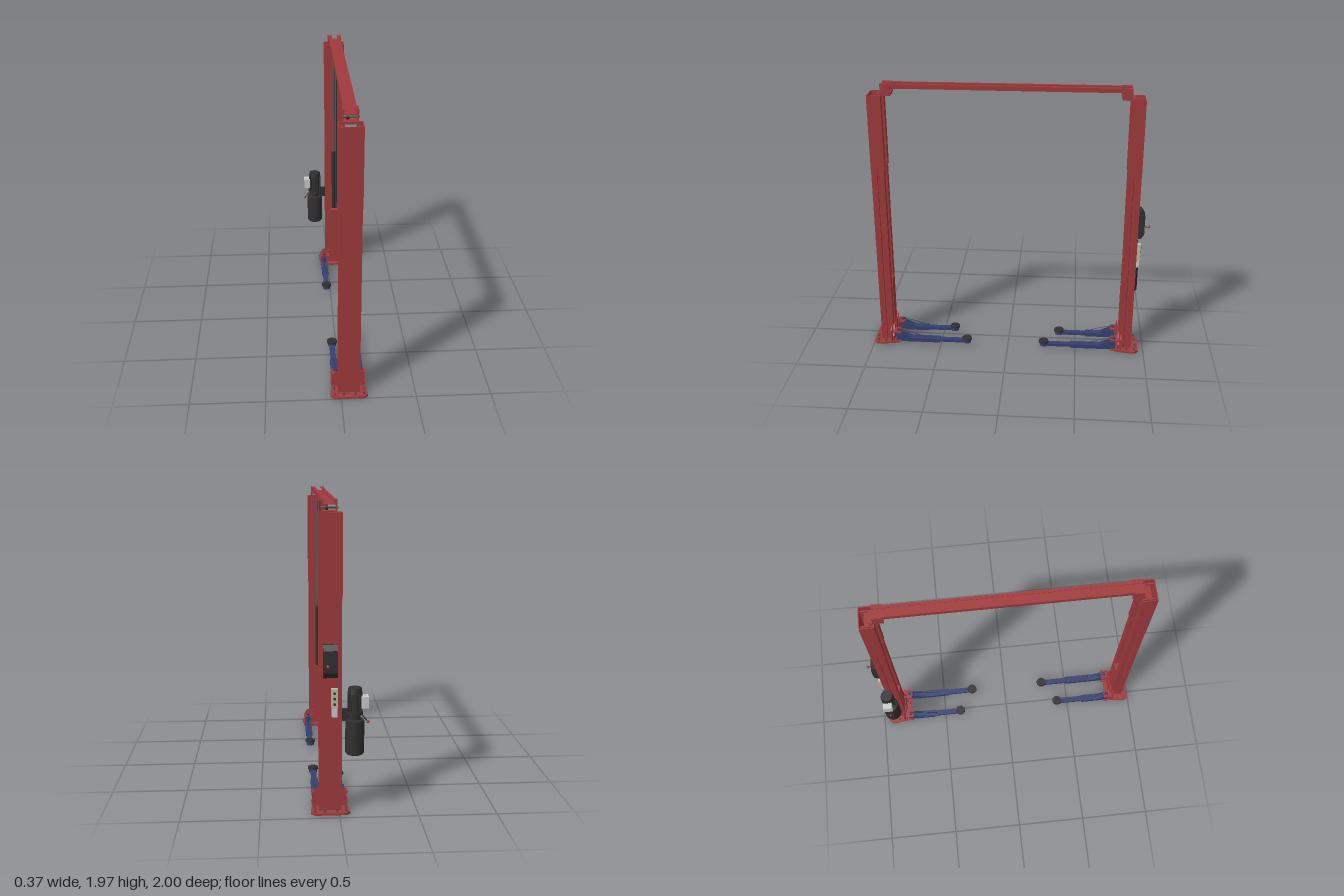
import * as THREE from 'three';

const paint = (color) => new THREE.MeshStandardMaterial({ color, flatShading: false });
const RED = paint(0xa03a3c), BLUE = paint(0x35406f), DARK = paint(0x303030);
const BEIGE = paint(0xb9bba0), GREY = paint(0xcccccc), STEEL = paint(0x555555);

function add(parent, name, geometry, material, x = 0, y = 0, z = 0) {
  const mesh = new THREE.Mesh(geometry, material);
  mesh.name = name;
  mesh.position.set(x, y, z);
  parent.add(mesh);
  return mesh;
}

// box given by its minimum and maximum on each axis
function box(parent, name, material, [x0, x1], [y0, y1], [z0, z1]) {
  return add(parent, name, new THREE.BoxGeometry(x1 - x0, y1 - y0, z1 - z0), material,
    (x0 + x1) / 2, (y0 + y1) / 2, (z0 + z1) / 2);
}

function cyl(parent, name, material, r, y0, y1, x, z, rTop = r, sides = 24) {
  return add(parent, name, new THREE.CylinderGeometry(rTop, r, y1 - y0, sides), material, x, (y0 + y1) / 2, z);
}

// rod between two points
function rod(parent, name, material, a, b, r) {
  const curve = new THREE.LineCurve3(new THREE.Vector3(...a), new THREE.Vector3(...b));
  return add(parent, name, new THREE.TubeGeometry(curve, 1, r, 8), material);
}

// plan outline: right half as [x, z] points, mirrored to the left, raised from y0 to y1
function raise(parent, name, material, half, y0, y1) {
  const all = [...half, ...half.map(([x, z]) => [-x, z]).reverse()];
  const shape = new THREE.Shape(all.map(([x, z]) => new THREE.Vector2(x, -z)));
  const geo = new THREE.ExtrudeGeometry(shape, { depth: y1 - y0, bevelEnabled: false });
  geo.rotateX(-Math.PI / 2);
  return add(parent, name, geo, material, 0, y0, 0);
}

// swinging arm with pivot, telescoping bar and lifting pad; +z points away from the post
function createArm(side, reach) {
  const arm = new THREE.Group();
  arm.name = 'liftArm';
  const x = side * 0.085;
  cyl(arm, 'pivotPin', BLUE, 0.014, 0.015, 0.108, x, 0.132);
  box(arm, 'armRoot', BLUE, [x - 0.022, x + 0.022], [0.022, 0.085], [0.115, 0.165]);
  const mid = reach - 0.2;
  box(arm, 'outerArm', BLUE, [x - 0.025, x + 0.025], [0.02, 0.05], [0.16, mid]);
  box(arm, 'innerArm', BLUE, [x - 0.019, x + 0.019], [0.024, 0.045], [mid - 0.05, reach]);
  // sloping ribs down from the root
  for (const s of [-1, 1]) {
    const rib = new THREE.Shape([[0.16, 0.05], [0.24, 0.05], [0.16, 0.085]].map((p) => new THREE.Vector2(...p)));
    const geo = new THREE.ExtrudeGeometry(rib, { depth: 0.005, bevelEnabled: false });
    geo.rotateY(-Math.PI / 2);
    add(arm, 'armRib', geo, BLUE, x + s * 0.018 + 0.0025, 0, 0);
  }
  cyl(arm, 'armTip', BLUE, 0.028, 0.022, 0.045, x, reach);
  cyl(arm, 'padStem', STEEL, 0.016, 0.04, 0.052, x, reach);
  cyl(arm, 'liftPad', DARK, 0.037, 0.048, 0.062, x, reach, 0.035, 32);
  const cable = new THREE.QuadraticBezierCurve3(new THREE.Vector3(x, 0.108, 0.132),
    new THREE.Vector3(x, 0.085, 0.25), new THREE.Vector3(x, 0.05, 0.34));
  add(arm, 'releaseCable', new THREE.TubeGeometry(cable, 12, 0.0018, 6), DARK);
  return arm;
}

// post with its outer face at z = 0, opening toward +z
function createPost(longSide) {
  const post = new THREE.Group();
  post.name = 'post';

  // base plate and anchor bolts
  raise(post, 'basePlate', RED,
    [[0.1, -0.05], [0.125, -0.025], [0.122, 0.02], [0.112, 0.09], [0.1, 0.13]], 0, 0.014);
  for (const s of [-1, 1]) {
    for (const [x, z] of [[0.098, -0.022], [0.1, 0.035], [0.04, -0.028]]) {
      cyl(post, 'anchorWasher', RED, 0.012, 0.014, 0.018, s * x, z);
      cyl(post, 'anchorBolt', STEEL, 0.007, 0.018, 0.035, s * x, z, 0.007, 6);
    }
  }

  // folded channel with grooved sides
  raise(post, 'lowerColumn', RED, [[0.072, 0], [0.072, 0.04], [0.066, 0.043], [0.066, 0.05], [0.072, 0.053],
    [0.072, 0.09], [0.03, 0.09], [0.03, 0.07], [0.035, 0.07], [0.035, 0.085],
    [0.061, 0.085], [0.061, 0.006]], 0.014, 1.38);
  raise(post, 'upperSleeve', RED, [[0.075, -0.001], [0.075, 0.095], [0.034, 0.095], [0.034, 0.075], [0.039, 0.075],
    [0.039, 0.09], [0.07, 0.09], [0.07, 0.005]], 1.37, 1.895);
  raise(post, 'topTie', RED, [[0.07, 0.03], [0.05, 0.065]], 1.855, 1.865);
  for (const s of [-1, 1]) {
    box(post, 'innerRail', RED, [s * 0.052 - 0.004, s * 0.052 + 0.004], [1.37, 1.88], [0.005, 0.09]);
  }

  // lifting ram and chain
  cyl(post, 'ramBody', DARK, 0.015, 0.014, 1.0, 0, 0.035);
  cyl(post, 'ramRod', STEEL, 0.009, 1.0, 1.855, 0, 0.035);
  box(post, 'chain', DARK, [0.02, 0.026], [0.4, 1.85], [0.03, 0.045]);

  // sliding carriage with arm brackets
  box(post, 'carriageSlide', RED, [-0.028, 0.028], [0.03, 0.5], [0.055, 0.096]);
  const flare = new THREE.Shape([[-0.112, 0.022], [0.112, 0.022], [0.112, 0.06], [0.06, 0.13], [-0.06, 0.13], [-0.112, 0.06]]
    .map((p) => new THREE.Vector2(...p)));
  add(post, 'carriageFace', new THREE.ExtrudeGeometry(flare, { depth: 0.012, bevelEnabled: false }), RED, 0, 0, 0.09);
  for (const s of [-1, 1]) {
    for (const y of [0.016, 0.09]) {
      const b = box(post, 'armBracket', RED, [-0.036, 0.036], [y, y + 0.009], [0.09, 0.152]);
      b.position.x = s * 0.081;
    }
    box(post, 'lockBar', RED, [s * 0.04 - 0.004, s * 0.04 + 0.004], [0.05, 0.175], [0.104, 0.112]);
    // side gussets
    const gusset = new THREE.Shape([[0.07, 0.014], [0.112, 0.014], [0.108, 0.1], [0.09, 0.13], [0.07, 0.13]]
      .map(([x, y]) => new THREE.Vector2(s * x, y)));
    const geo = new THREE.ExtrudeGeometry(gusset, { depth: 0.008, bevelEnabled: false });
    add(post, 'sideGusset', geo, RED, 0, 0, 0.075);
    post.add(createArm(s, s === longSide ? 0.645 : 0.535));
  }

  // bracket carrying the crossbeam, with pulley
  box(post, 'beamSeat', RED, [-0.045, 0.045], [1.888, 1.902], [0.065, 0.155]);
  for (const s of [-1, 1]) {
    box(post, 'beamCheek', RED, [s * 0.045 - 0.004, s * 0.045 + 0.004], [1.895, 1.97], [0.088, 0.158]);
  }
  const axle = cyl(post, 'pulleyAxle', STEEL, 0.007, -0.054, 0.054, 0, 0.11);
  const pulley = cyl(post, 'pulley', DARK, 0.016, -0.008, 0.008, 0.015, 0.11);
  for (const m of [axle, pulley]) {
    m.rotation.z = Math.PI / 2;
    m.position.y = 1.92;
  }
  return post;
}

// motor, pump and oil tank
function createPowerUnit() {
  const unit = new THREE.Group();
  unit.name = 'powerUnit';
  const x = -0.1, z = -0.887;
  const tank = [[0, 0.385], [0.052, 0.385], [0.06, 0.395], [0.06, 0.6], [0.052, 0.612], [0, 0.612]];
  add(unit, 'oilTank', new THREE.LatheGeometry(tank.map((p) => new THREE.Vector2(...p)), 32), DARK, x, 0, z);
  cyl(unit, 'pumpBlock', DARK, 0.036, 0.61, 0.67, x, z);
  cyl(unit, 'motorFlange', DARK, 0.05, 0.645, 0.662, x, z);
  cyl(unit, 'motor', DARK, 0.042, 0.66, 0.785, x, z);
  cyl(unit, 'fanCover', DARK, 0.047, 0.78, 0.815, x, z, 0.042);
  for (let i = 0; i < 20; i++) {
    const a = (i / 20) * Math.PI * 2;
    const fin = add(unit, 'coolingFin', new THREE.BoxGeometry(0.008, 0.115, 0.003), DARK,
      x + Math.cos(a) * 0.043, 0.722, z + Math.sin(a) * 0.043);
    fin.rotation.y = -a;
  }
  box(unit, 'switchBox', GREY, [-0.185, -0.14], [0.688, 0.762], [-0.925, -0.86]);
  rod(unit, 'releaseLever', DARK, [-0.13, 0.655, z], [-0.18, 0.595, z], 0.004);
  add(unit, 'leverKnob', new THREE.SphereGeometry(0.009, 16, 12), RED, -0.182, 0.592, z);
  box(unit, 'mountBracket', DARK, [-0.07, -0.015], [0.6, 0.68], [-0.895, -0.88]);
  return unit;
}

// boxes on the outer face of the back post
function createControls() {
  const g = new THREE.Group();
  g.name = 'controls';
  const side = new THREE.Shape([[0, 0.89], [0.022, 0.89], [0.045, 0.925], [0.045, 1.065], [0.022, 1.1], [0, 1.1]]
    .map((p) => new THREE.Vector2(...p)));
  const geo = new THREE.ExtrudeGeometry(side, { depth: 0.09, bevelEnabled: false });
  geo.rotateY(Math.PI / 2);
  add(g, 'latchCover', geo, DARK, 0.01, 0, -0.912);
  rod(g, 'latchLever', STEEL, [0.073, 0.975, -0.95], [0.073, 0.975, -0.985], 0.004);
  add(g, 'latchKnob', new THREE.SphereGeometry(0.01, 16, 12), RED, 0.073, 0.975, -0.988);
  box(g, 'controlBox', BEIGE, [0.01, 0.05], [0.7, 0.82], [-0.945, -0.913]);
  box(g, 'socketBox', GREY, [0.013, 0.047], [0.64, 0.7], [-0.938, -0.913]);
  for (const y of [0.725, 0.76, 0.795]) {
    const button = cyl(g, 'button', DARK, 0.008, -0.003, 0.003, 0.03, -0.947);
    button.rotation.x = Math.PI / 2;
    button.position.y = y;
  }
  return g;
}

export function createModel() {
  const lift = new THREE.Group();
  lift.name = 'twoPostLift';

  const front = createPost(-1);
  front.name = 'frontPost';
  front.rotation.y = Math.PI;
  front.position.set(0.055, 0, 0.95);
  const back = createPost(1);
  back.name = 'backPost';
  back.position.set(0.055, 0, -0.912);
  lift.add(front, back);

  // upward-opening crossbeam channel
  const lip = [[0.041, 1.937], [0.041, 1.968], [0.02, 1.968], [0.02, 1.964], [0.037, 1.964], [0.037, 1.941]];
  const all = [...lip, ...lip.map(([x, y]) => [-x, y]).reverse()];
  const beam = new THREE.Shape(all.map((p) => new THREE.Vector2(...p)));
  add(lift, 'crossbeam', new THREE.ExtrudeGeometry(beam, { depth: 1.682, bevelEnabled: false }), RED, 0.055, 0, -0.822);

  lift.add(createPowerUnit(), createControls());
  return lift;
}
